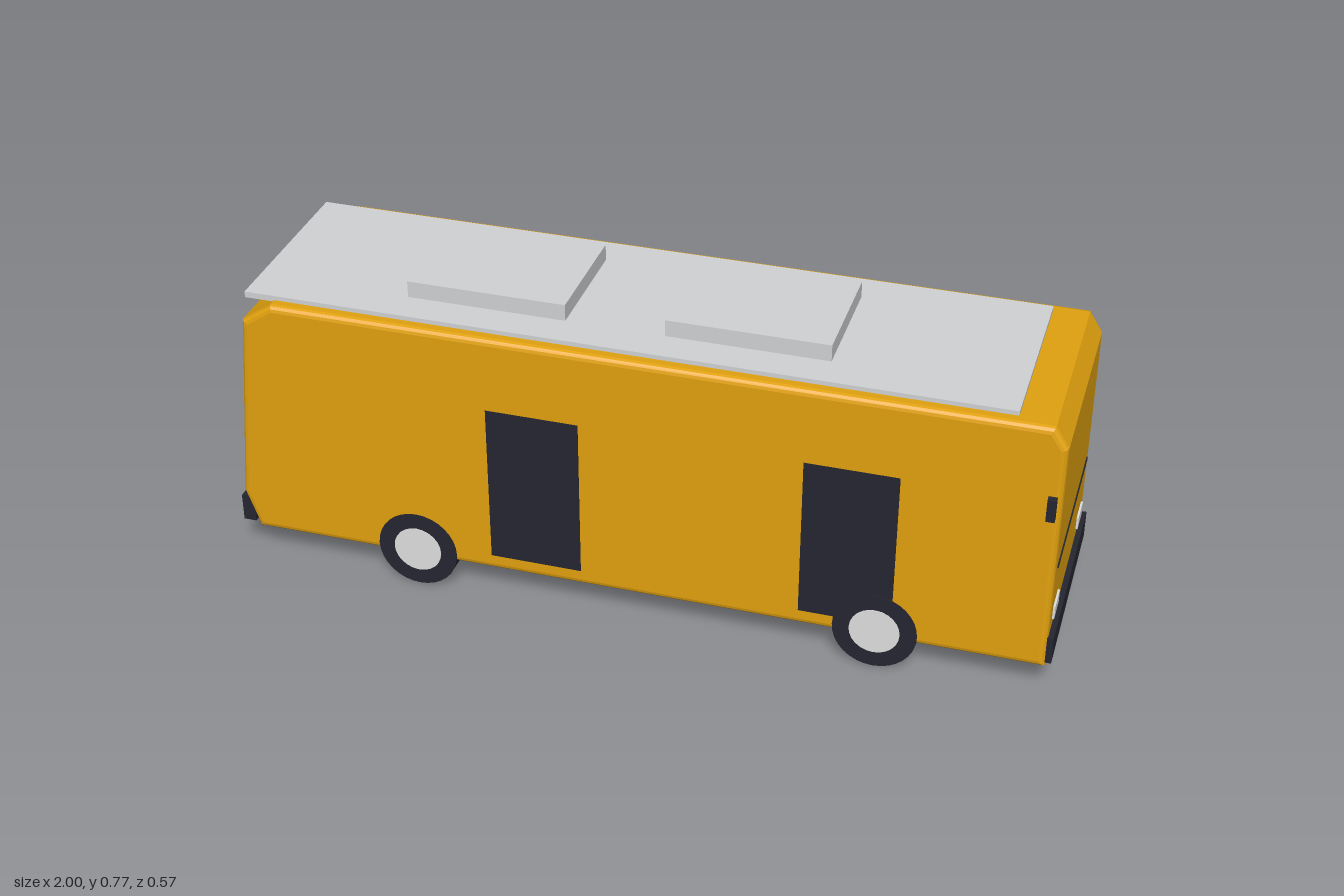
import * as THREE from 'three';

const paint = (name, color) => {
  const m = new THREE.MeshStandardMaterial({ color });
  m.name = name;
  return m;
};

export function createModel() {
  const bus = new THREE.Group();
  bus.name = 'bus';
  const orange = paint('orange paint', 0xe2a20f);
  const dark = paint('dark rubber and glass', 0x262631);
  const grey = paint('roof grey', 0xd2d3d5);
  const light = paint('light grey', 0xe0e0e0);
  const red = paint('tail light red', 0xa81818);

  const add = (name, geometry, material, x = 0, y = 0, z = 0) => {
    const mesh = new THREE.Mesh(geometry, material);
    mesh.name = name;
    mesh.position.set(x, y, z);
    bus.add(mesh);
    return mesh;
  };
  // box given by its extents along each axis
  const box = (name, material, [x0, x1], [y0, y1], [z0, z1]) =>
    add(name, new THREE.BoxGeometry(x1 - x0, y1 - y0, z1 - z0), material,
      (x0 + x1) / 2, (y0 + y1) / 2, (z0 + z1) / 2);

  // body: side profile with softly bevelled long edges
  const profile = new THREE.Shape([
    [-0.955, 0.08], [0.987, 0.08], [0.987, 0.668], [0.955, 0.718],
    [-0.87, 0.718], [-0.945, 0.668], [-0.99, 0.18],
  ].map(([x, y]) => new THREE.Vector2(x, y)));
  const bevel = 0.015;
  const shell = new THREE.ExtrudeGeometry(profile, {
    depth: 0.54 - 2 * bevel, bevelEnabled: true, bevelSize: bevel,
    bevelThickness: bevel, bevelOffset: -bevel, bevelSegments: 3,
  });
  add('body', shell, orange, 0, 0, -0.27 + bevel);

  // roof plate and the two roof units
  box('roofPlate', grey, [-0.945, 0.872], [0.714, 0.729], [-0.237, 0.237]);
  box('rearRoofUnit', grey, [-0.57, -0.185], [0.729, 0.77], [-0.151, 0.151]);
  box('frontRoofUnit', grey, [0.052, 0.438], [0.729, 0.77], [-0.151, 0.151]);

  // doors on one side only
  box('rearDoor', dark, [-0.345, -0.12], [0.12, 0.53], [0.264, 0.271]);
  box('frontDoor', dark, [0.41, 0.63], [0.12, 0.53], [0.264, 0.271]);

  // bumpers and the line across the nose
  box('frontBumper', dark, [0.975, 1], [0.09, 0.16], [-0.262, 0.262]);
  box('rearBumper', dark, [-1, -0.968], [0.09, 0.16], [-0.262, 0.262]);
  box('noseLine', dark, [0.983, 0.99], [0.333, 0.339], [-0.23, 0.23]);

  for (const s of [1, -1]) {
    const side = s > 0 ? 'right' : 'left';
    const span = (a, b) => (s > 0 ? [a, b] : [-b, -a]);
    box(side + 'Headlight', light, [0.984, 0.992], [0.183, 0.217], span(0.149, 0.219));
    box(side + 'TailLight', red, [-0.997, -0.975], [0.212, 0.284], span(0.153, 0.216));
    box(side + 'Mirror', dark, [0.955, 0.975], [0.49, 0.547], span(0.267, 0.286));

    // wheels: single at the front, wide at the rear
    for (const [end, x, width] of [['Front', 0.592, 0.061], ['Rear', -0.535, 0.106]]) {
      const tyre = new THREE.CylinderGeometry(0.1, 0.1, width, 32).rotateX(Math.PI / 2);
      add(side + end + 'Tyre', tyre, dark, x, 0.1, s * (0.2725 - width / 2));
      const hub = new THREE.CylinderGeometry(0.06, 0.06, 0.008, 24).rotateX(Math.PI / 2);
      add(side + end + 'Hub', hub, light, x, 0.1, s * 0.27);
    }
  }
  return bus;
}
